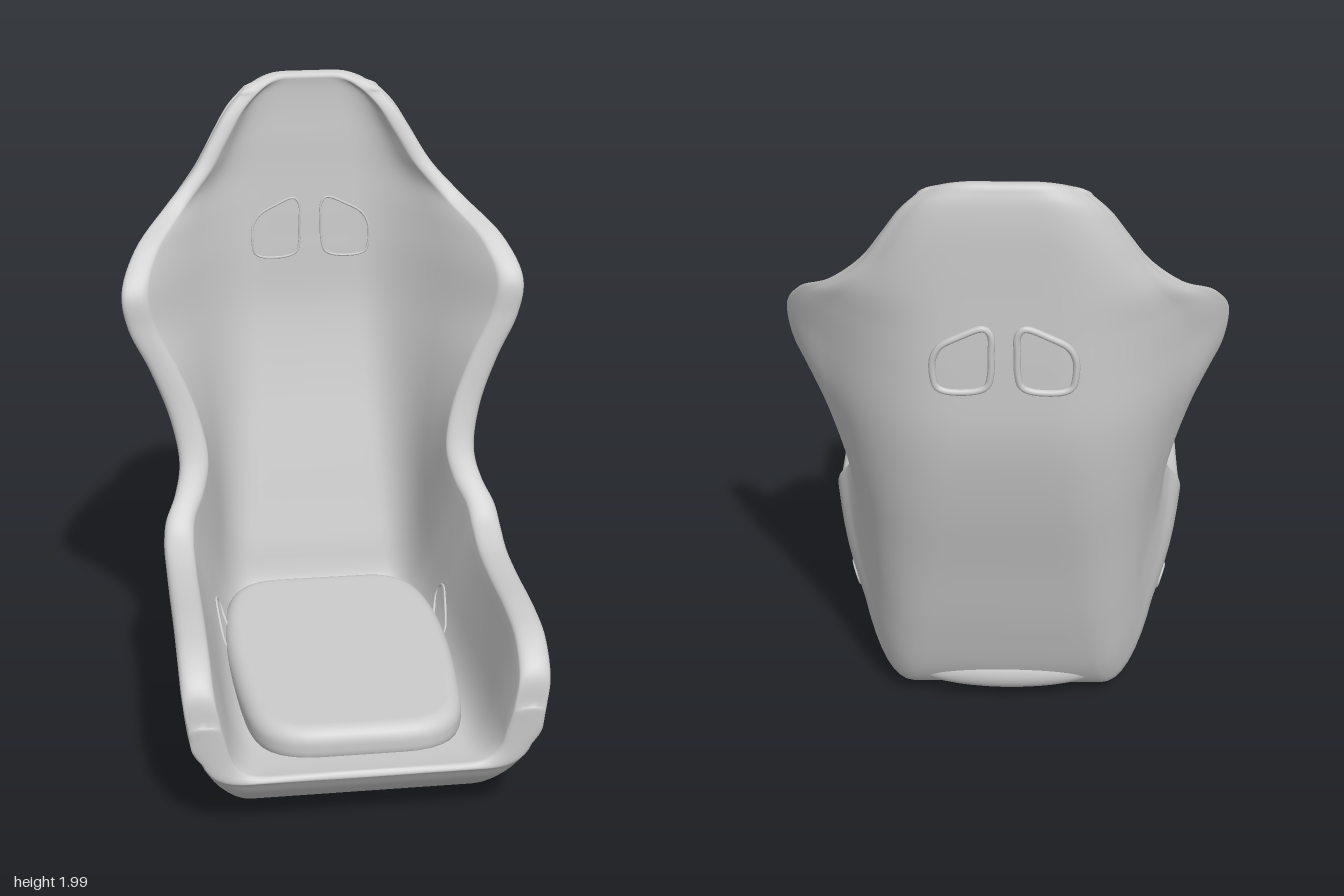
import * as THREE from 'three';
import { mergeVertices } from 'three/addons/utils/BufferGeometryUtils.js';

const V = (x, y, z) => new THREE.Vector3(x, y, z);
const { lerp, smoothstep } = THREE.MathUtils;
const grey = new THREE.MeshStandardMaterial({ color: 0xcccccc });

function add(parent, geometry, name) {
  const mesh = new THREE.Mesh(geometry, grey);
  mesh.name = name;
  parent.add(mesh);
  return mesh;
}

// Sections from the front lip, along the pan and up the back.
// Each row: outer corner, rim and inner corner (x, y, z), as separate curves.
const outerKeys = [
  [.465, .19, .745], [.455, .13, .7], [.43, .06, .61], [.42, .02, .48], [.415, .005, .2],
  [.415, .01, 0], [.415, .025, -.25], [.395, .05, -.37], [.385, .13, -.435], [.375, .35, -.515],
  [.365, .65, -.6], [.355, .95, -.685], [.345, 1.2, -.735], [.34, 1.4, -.745], [.325, 1.54, -.748],
  [.31, 1.66, -.75], [.285, 1.77, -.752], [.245, 1.87, -.752], [.2, 1.945, -.746], [.15, 1.985, -.735]];
const rimKeys = [
  [.54, .4, .752], [.555, .5, .735], [.56, .578, .64], [.56, .6, .48], [.56, .592, .22],
  [.56, .6, .05], [.56, .635, -.05], [.55, .69, -.105], [.515, .76, -.155], [.495, .85, -.2],
  [.52, .98, -.235], [.585, 1.14, -.255], [.65, 1.27, -.265], [.668, 1.385, -.275], [.618, 1.5, -.375],
  [.51, 1.6, -.51], [.41, 1.7, -.57], [.35, 1.79, -.602], [.3, 1.87, -.628], [.25, 1.93, -.652]];
const innerKeys = [
  [.39, .21, .735], [.385, .205, .69], [.38, .2, .6], [.38, .2, .48], [.37, .2, .2],
  [.36, .2, 0], [.34, .2, -.2], [.33, .21, -.35], [.32, .25, -.422], [.31, .42, -.475],
  [.3, .7, -.552], [.29, .96, -.622], [.28, 1.2, -.67], [.28, 1.4, -.68], [.27, 1.54, -.685],
  [.25, 1.66, -.69], [.225, 1.77, -.692], [.19, 1.87, -.695], [.155, 1.945, -.694], [.11, 1.98, -.69]];
const curves = [outerKeys, rimKeys, innerKeys].map(
  (keys) => new THREE.CatmullRomCurve3(keys.map((k) => V(...k))));

// Half of one skin: centre line, rounded corner, side wall, rounded rim edge.
function halfSkin(corner, rim, rimMid, bulge, edge, soft) {
  const centre = V(0, corner.y, corner.z);
  const a = centre.clone().lerp(corner, lerp(.78, .45, soft));
  const b = corner.clone().lerp(rim, lerp(.38, .52, soft));
  const e = rim.clone().lerp(corner, Math.min(.3, edge / rim.distanceTo(corner)));
  const bend = new THREE.QuadraticBezierCurve3(a, corner, b);
  const lip = new THREE.QuadraticBezierCurve3(e, rim, rimMid);
  const pts = [];
  for (let i = 0; i < 4; i++) pts.push(centre.clone().lerp(a, i / 4));
  for (let i = 0; i < 9; i++) pts.push(bend.getPoint(i / 8));
  for (let i = 1; i < 6; i++) {
    const p = b.clone().lerp(e, i / 6);
    p.x += bulge * Math.sin(Math.PI * i / 6);
    pts.push(p);
  }
  for (let i = 0; i < 6; i++) pts.push(lip.getPoint(i / 5));
  return pts;
}

const mirror = (p) => V(-p.x, p.y, p.z);

// Closed ring: outer skin from -x to +x, then inner skin back again.
function section(t) {
  const [outer, rim, inner] = curves.map((c) => c.getPoint(t));
  const thick = lerp(.1, .06, smoothstep(t, .6, .9));
  const innerRim = V(rim.x - thick, rim.y, rim.z);
  const mid = rim.clone().lerp(innerRim, .5);
  const soft = smoothstep(t, .34, .65);
  const o = halfSkin(outer, rim, mid, .012, .045, soft);
  const n = halfSkin(inner, innerRim, mid, 0, .02, soft * .6);
  return [
    ...o.slice(1).reverse().map(mirror), ...o,
    ...n.slice(1).reverse(), ...n.map(mirror)];
}

// Pinches a ring shut to round off an open end, fading out where it is thin.
function pinch(ring, amount, push) {
  const last = ring.length - 1;
  return ring.map((p, j) => {
    const pair = ring[last - j];
    return p.clone().lerp(pair, amount).addScaledVector(push, Math.min(1, p.distanceTo(pair) / .05));
  });
}

function shellGeometry() {
  const steps = 114;
  const rings = [];
  for (let i = 0; i <= steps; i++) rings.push(section(i / steps));
  const first = rings[0], end = rings[steps];
  const caps = [[.08, .006], [.25, .012], [.5, .015]];
  for (const [amount, d] of caps) {
    rings.unshift(pinch(first, amount, V(0, 0, d * .6)));
    rings.push(pinch(end, amount, V(0, d, 0)));
  }
  const n = first.length;
  const index = [];
  for (let i = 0; i < rings.length - 1; i++) {
    for (let j = 0; j < n; j++) {
      const a = i * n + j, b = i * n + (j + 1) % n;
      index.push(a, a + n, b, b, a + n, b + n);
    }
  }
  let g = new THREE.BufferGeometry().setFromPoints(rings.flat());
  g.setIndex(index);
  g = mergeVertices(g, 1e-5);
  g.computeVertexNormals();
  return g;
}

// Cushion with a soft edge, narrowing toward the back.
function cushionGeometry() {
  const s = new THREE.Shape();
  s.moveTo(0, -.585);
  s.lineTo(.12, -.585);
  s.bezierCurveTo(.27, -.585, .28, -.5, .295, -.36);
  s.bezierCurveTo(.32, -.1, .32, .1, .3, .22);
  s.bezierCurveTo(.28, .36, .24, .4, .14, .4);
  s.lineTo(-.14, .4);
  s.bezierCurveTo(-.24, .4, -.28, .36, -.3, .22);
  s.bezierCurveTo(-.32, .1, -.32, -.1, -.295, -.36);
  s.bezierCurveTo(-.28, -.5, -.27, -.585, -.12, -.585);
  s.closePath();
  let g = new THREE.ExtrudeGeometry(s, {
    depth: .02, bevelThickness: .05, bevelSize: .05, bevelSegments: 7, curveSegments: 10 });
  g.rotateX(-Math.PI / 2);
  g.translate(0, .22, .002);
  g.deleteAttribute('uv');
  g.deleteAttribute('normal');
  g = mergeVertices(g, 1e-4);
  g.computeVertexNormals();
  return g;
}

export function createModel() {
  const seat = new THREE.Group();
  seat.name = 'bucketSeat';
  const shell = add(seat, shellGeometry(), 'shell');
  add(seat, cushionGeometry(), 'cushion');

  // Rounded pad under the lower back edge
  const pad = new THREE.SphereGeometry(1, 32, 20);
  pad.scale(.3, .07, .065);
  pad.translate(0, .13, -.392);
  add(seat, pad, 'lowerPad');

  // Trim ring laid onto the shell by projecting an outline along a direction
  const ray = new THREE.Raycaster();
  function trim(outline, start, dir, radius, name) {
    const pts = [];
    for (const p of outline) {
      ray.set(start(p), dir);
      const hit = ray.intersectObject(shell)[0];
      if (hit) pts.push(hit.point);
    }
    const path = new THREE.CatmullRomCurve3(pts, true);
    add(seat, new THREE.TubeGeometry(path, 72, radius, 8, true), name);
  }

  // Shoulder belt openings and lap belt slots, trimmed inside and outside
  const shoulder = new THREE.CatmullRomCurve3([
    [.036, 1.49], [.037, 1.55], [.055, 1.572], [.12, 1.548], [.175, 1.515], [.196, 1.475], [.197, 1.42],
    [.188, 1.385], [.165, 1.372], [.08, 1.372], [.048, 1.388], [.037, 1.43]].map(([x, y]) => V(x, y, 0)), true).getPoints(48).slice(1);
  const slot = [];
  for (let i = 0; i < 40; i++) {
    const a = i / 40 * Math.PI * 2;
    const u = Math.cos(a) * .037 + Math.sign(Math.cos(a)) * .065, v = Math.sin(a) * .037;
    const tilt = .6, c = Math.cos(tilt), s = Math.sin(tilt);
    slot.push(V(0, .285 + u * s + v * c, -.1 - u * c + v * s));
  }
  for (const side of [1, -1]) {
    const label = side > 0 ? 'left' : 'right';
    trim(shoulder, (p) => V(p.x * side, p.y, 1), V(0, 0, -1), .004, label + 'ShoulderTrimFront');
    trim(shoulder, (p) => V(p.x * side, p.y, -2), V(0, 0, 1), .01, label + 'ShoulderTrimBack');
    trim(slot, (p) => V(2 * side, p.y, p.z), V(-side, 0, 0), .006, label + 'LapSlotTrimOuter');
    trim(slot, (p) => V(0, p.y, p.z), V(side, 0, 0), .005, label + 'LapSlotTrimInner');
  }
  return seat;
}
